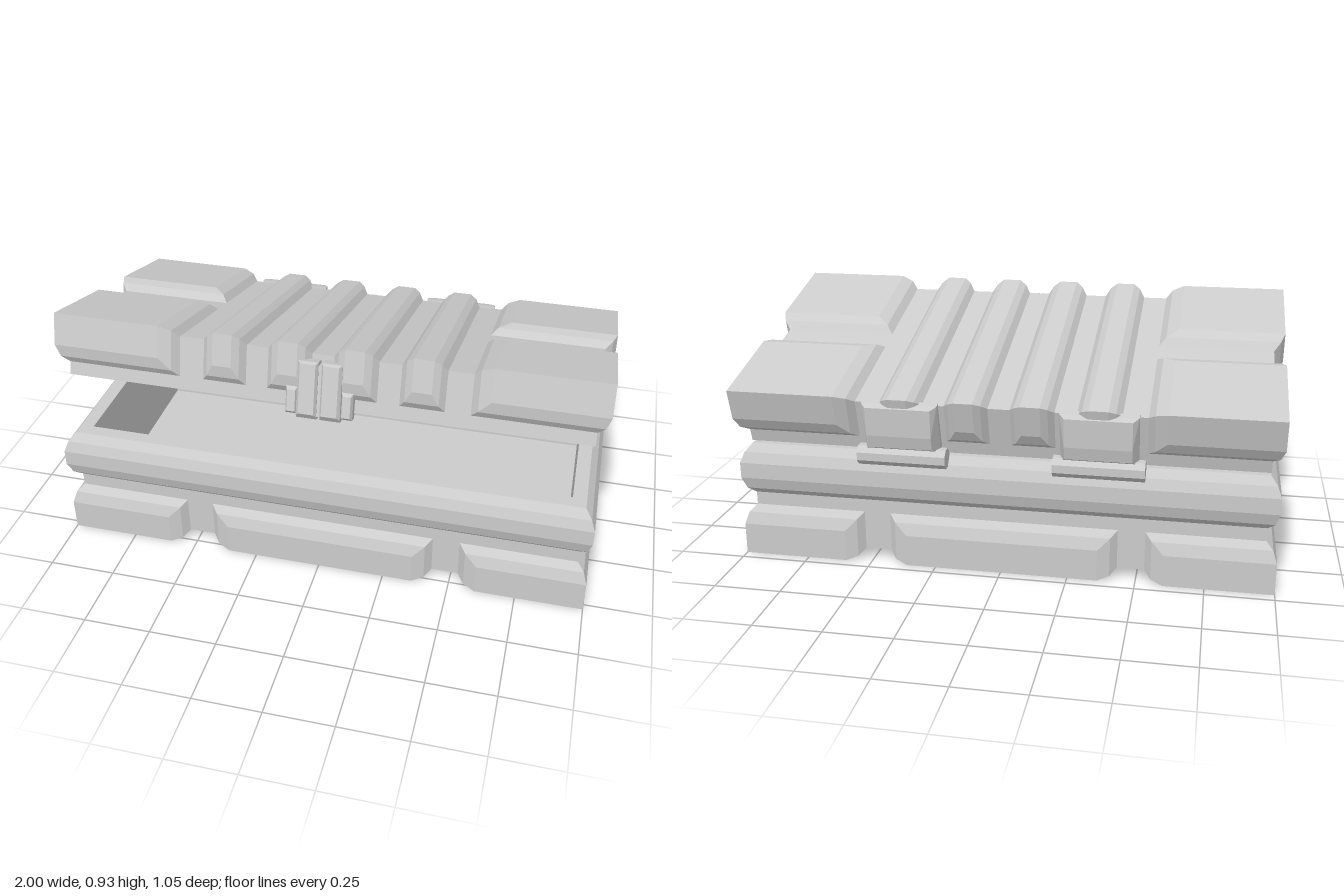
import * as THREE from 'three';
import { mergeGeometries } from 'three/addons/utils/BufferGeometryUtils.js';
import { ConvexGeometry } from 'three/addons/geometries/ConvexGeometry.js';

const material = new THREE.MeshStandardMaterial({ color: 0xcccccc, flatShading: true });
const HX = 1, HZ = 0.4925; // half width and half depth of the crate

function addMesh(parent, name, geometry) {
  const mesh = new THREE.Mesh(geometry, material);
  mesh.name = name;
  parent.add(mesh);
  return mesh;
}

// Rectangular rings swept through [inset, y] steps
function rectLoft(profile) {
  const pos = [];
  const rings = profile.map(([inset, y]) => {
    const x = HX - inset, z = HZ - inset;
    return [[x, y, z], [x, y, -z], [-x, y, -z], [-x, y, z]];
  });
  for (let r = 0; r < rings.length - 1; r++) {
    for (let i = 0; i < 4; i++) {
      const j = (i + 1) % 4;
      const a = rings[r][i], b = rings[r][j], c = rings[r + 1][j], d = rings[r + 1][i];
      pos.push(...a, ...b, ...c, ...a, ...c, ...d);
    }
  }
  const g = new THREE.BufferGeometry();
  g.setAttribute('position', new THREE.Float32BufferAttribute(pos, 3));
  g.computeVertexNormals();
  return g;
}

// Convex hull around boxes given as [x0, x1, y0, y1, z0, z1]
function hull(boxes, map = (x, y, z) => [x, y, z]) {
  const pts = [];
  for (const b of boxes)
    for (const x of [b[0], b[1]])
      for (const y of [b[2], b[3]])
        for (const z of [b[4], b[5]]) pts.push(new THREE.Vector3(...map(x, y, z)));
  return new ConvexGeometry(pts);
}

// Bevelled armour block wrapped round the walls, leaving the cavity free
const WALLS = [[0, 0.92], [1, -0.92], [4, 0.41], [5, -0.41], [3, 0.07]]; // [box side, limit]
function armour(boxes, map) {
  const pieces = [];
  for (const [k, limit] of WALLS) {
    const cut = boxes.map((b) => {
      const c = b.slice();
      c[k] = k % 2 ? Math.min(c[k], limit) : Math.max(c[k], limit);
      return c;
    });
    if (cut.every((c) => c[0] < c[1] && c[2] < c[3] && c[4] < c[5])) pieces.push(hull(cut, map));
  }
  return mergeGeometries(pieces);
}

// Three nested boxes: inner core, rounded step, outer face
const bar = (cx, w0, w1, w2) => [
  [cx - w0, cx + w0, 0.04, 0.19, -0.4525, 0.4525],
  [cx - w1, cx + w1, 0.015, 0.165, -0.4775, 0.4775],
  [cx - w2, cx + w2, 0, 0.12, -HZ, HZ],
];
const CORNER = [
  [0.53, 0.96, 0.04, 0.19, 0.05, 0.4525],
  [0.555, 0.985, 0.015, 0.165, 0.08, 0.4775],
  [0.6, 1, 0, 0.12, 0.12, HZ],
];

function addCorners(parent, name, yMap) {
  for (const sx of [1, -1])
    for (const sz of [1, -1])
      addMesh(parent, name, armour(CORNER, (x, y, z) => [sx * x, yMap(y), sz * z]));
}

function makeBase() {
  const base = new THREE.Group();
  base.name = 'base';
  base.position.z = 0.0325;
  addMesh(base, 'tub', rectLoft([
    [HZ, 0.04], [0.04, 0.04], [0.04, 0.24], [0.015, 0.265], [0, 0.31], [0, 0.37],
    [0.015, 0.41], [0.04, 0.44], [0.09, 0.44], [0.09, 0.08], [HZ, 0.08],
  ]));
  addCorners(base, 'baseCornerBlock', (y) => y);
  addMesh(base, 'baseMiddleBlock', armour(bar(0, 0.43, 0.405, 0.36)));
  return base;
}

function makeLid() {
  const lid = new THREE.Group(); // origin at the hinge line
  lid.name = 'lid';
  lid.position.set(0, 0.44, -0.46);
  lid.rotation.x = -THREE.MathUtils.degToRad(15);
  const shell = new THREE.Group();
  shell.name = 'lidShell';
  shell.position.z = HZ;
  lid.add(shell);
  addMesh(shell, 'lidTray', rectLoft([
    [HZ, 0.15], [0.09, 0.15], [0.09, 0], [0.04, 0], [0.04, 0.2], [HZ, 0.2],
  ]));
  const flip = (y) => 0.24 - y;
  addCorners(shell, 'lidCornerBlock', flip);
  for (const cx of [-0.36, -0.12, 0.12, 0.36])
    addMesh(shell, 'lidRidge', armour(bar(cx, 0.08, 0.06, 0.035), (x, y, z) => [x, flip(y), z]));

  // Latch: two front plates, a backing and side lugs
  addMesh(lid, 'latchBacking', hull([[-0.08, 0.08, -0.02, 0.17, 0.93, 0.982]]));
  for (const s of [1, -1]) {
    const mirror = (x, y, z) => [s * x, y, z];
    addMesh(lid, 'latchPlate', hull([
      [0.006, 0.08, -0.02, 0.182, 0.94, 0.985],
      [0.014, 0.07, -0.01, 0.175, 0.95, 0.998],
      [0.006, 0.08, -0.032, 0, 0.955, 0.975],
    ], mirror));
    addMesh(lid, 'latchLug', hull([
      [0.08, 0.122, -0.02, 0.08, 0.94, 0.972],
      [0.085, 0.115, -0.01, 0.07, 0.95, 0.986],
    ], mirror));
    // Hinge plate running up the back of the lid
    addMesh(lid, 'hingePlate', hull([
      [0.22, 0.5, 0.01, 0.209, 0.02, 0.045],
      [0.24, 0.48, 0.05, 0.1, -0.026, 0.03],
      [0.24, 0.48, 0.1, 0.205, -0.006, 0.03],
    ], mirror));
  }
  return lid;
}

export function createModel() {
  const model = new THREE.Group();
  model.name = 'crate';
  model.add(makeBase(), makeLid());
  // Hinge barrels
  for (const x of [-0.36, 0.36]) {
    const barrel = addMesh(model, 'hingeBarrel', new THREE.CylinderGeometry(0.039, 0.039, 0.33, 8));
    barrel.rotation.set(Math.PI / 8, 0, Math.PI / 2);
    barrel.position.set(x, 0.44, -0.458);
  }
  return model;
}
